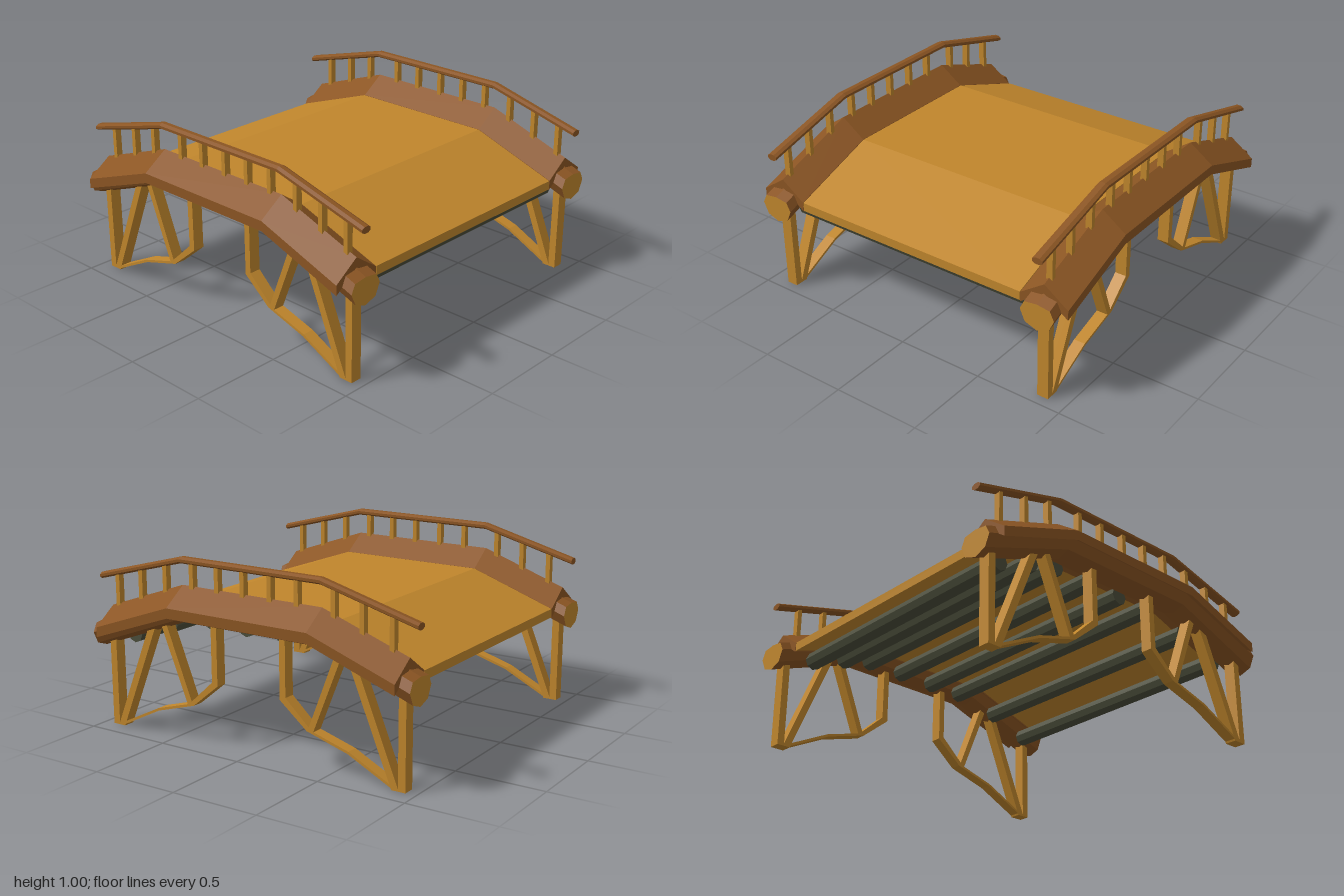
import * as THREE from 'three';

const mat = (name, color) => {
  const m = new THREE.MeshStandardMaterial({ color, flatShading: true });
  m.name = name;
  return m;
};

// Sweep a counter-clockwise [z, y] section along an [x, y] path with upright joints.
// Group 0 is the sides, group 1 the two end caps.
function sweep(section, path) {
  const pos = [];
  const at = (s, i) => {
    const p = section[i % section.length];
    return [path[s][0], path[s][1] + p[1], p[0]];
  };
  const tri = (a, b, c) => pos.push(...a, ...b, ...c);
  for (let s = 0; s < path.length - 1; s++) {
    for (let i = 0; i < section.length; i++) {
      const a = at(s, i), b = at(s, i + 1), c = at(s + 1, i + 1), d = at(s + 1, i);
      tri(a, d, c);
      tri(a, c, b);
    }
  }
  const sides = pos.length / 3;
  const contour = section.map(([z, y]) => new THREE.Vector2(z, y));
  const end = path.length - 1;
  for (const [i, j, k] of THREE.ShapeUtils.triangulateShape(contour, [])) {
    tri(at(0, i), at(0, j), at(0, k));
    tri(at(end, i), at(end, k), at(end, j));
  }
  const geo = new THREE.BufferGeometry();
  geo.setAttribute('position', new THREE.Float32BufferAttribute(pos, 3));
  geo.computeVertexNormals();
  geo.addGroup(0, sides, 0);
  geo.addGroup(sides, pos.length / 3 - sides, 1);
  return geo;
}

// Arched path: flat in the middle, sloping down to both ends
const BEND = 0.44;
const arch = (xEnd, yEnd, yMid) => [[-xEnd, yEnd], [-BEND, yMid], [BEND, yMid], [xEnd, yEnd]];
const archY = (x, xEnd, yEnd, yMid) =>
  yMid + (yEnd - yMid) * Math.max(0, Math.abs(x) - BEND) / (xEnd - BEND);

export function createModel() {
  const plank = mat('light wood', 0xc0862c);
  const timber = mat('brown wood', 0x8b5523);
  const olive = mat('dark olive wood', 0x4b4d3a);

  const model = new THREE.Group();
  model.name = 'footbridge';
  const add = (parent, name, geo, material) => {
    const mesh = new THREE.Mesh(geo, material);
    mesh.name = name;
    parent.add(mesh);
    return mesh;
  };

  // Deck
  const deckSection = [[-0.72, -0.05], [0.72, -0.05], [0.72, 0], [-0.72, 0]];
  add(model, 'deck', sweep(deckSection, arch(0.94, 0.575, 0.75)), [plank, plank]);

  // Cross logs under the deck
  for (const x of [-0.775, -0.565, -0.385, -0.15, 0.085, 0.305, 0.6, 0.855]) {
    const log = add(model, 'crossLog', new THREE.CylinderGeometry(0.05, 0.05, 1.58, 8), olive);
    log.rotation.x = Math.PI / 2;
    log.position.set(x, archY(x, 0.94, 0.525, 0.70) - 0.05, 0);
  }

  // Section shapes shared by both sides
  const curbSection = [[-0.14, -0.055], [0, 0.045], [0.14, -0.055], [0.14, 0], [0, 0.098], [-0.14, 0]];
  const beamSection = [[0, -0.09], [0.07, -0.065], [0.1, 0], [0.075, 0.05],
    [0, 0.06], [-0.075, 0.05], [-0.1, 0], [-0.07, -0.065]];
  const railSection = [];
  for (let i = 0; i < 8; i++) {
    const a = (i + 0.5) * Math.PI / 4;
    railSection.push([0.032 * Math.cos(a), 0.019 * Math.sin(a)]);
  }

  // Leg frame bars as [x, y] outlines
  const bars = {
    outerPost: [[0.9, 0], [0.942, 0], [0.942, 0.53], [0.9, 0.53]],
    outerBrace: [[0.862, 0], [0.905, 0], [0.635, 0.66], [0.59, 0.66]],
    innerBrace: [[0.37, 0.207], [0.405, 0.207], [0.588, 0.66], [0.548, 0.66]],
    innerPost: [[0.2, 0.34], [0.236, 0.356], [0.236, 0.68], [0.2, 0.68]],
    innerKnee: [[0.2, 0.34], [0.365, 0.205], [0.39, 0.215], [0.236, 0.356]],
    lowerTie: [[0.905, 0], [0.862, 0.008], [0.61, 0.133], [0.365, 0.205],
      [0.375, 0.216], [0.615, 0.146], [0.865, 0.022]],
  };

  for (const side of [1, -1]) {
    const edge = new THREE.Group();
    edge.name = side > 0 ? 'frontSide' : 'backSide';
    edge.position.z = 0.863 * side;
    model.add(edge);

    // Peaked curb, main beam with pale cut ends, and handrail
    add(edge, 'curb', sweep(curbSection, arch(0.94, 0.575, 0.75)), [timber, timber]);
    add(edge, 'mainBeam', sweep(beamSection, arch(1, 0.53, 0.735)), [timber, plank]);
    add(edge, 'handrail', sweep(railSection, arch(1, 0.834, 0.982)), [timber, timber]);

    // Railing posts
    for (const x of [-0.85, -0.68, -0.515, -0.295, -0.13, 0.04, 0.205, 0.37, 0.55, 0.72, 0.885]) {
      const low = archY(x, 0.94, 0.65, 0.83);
      const high = archY(x, 1, 0.834, 0.982);
      const post = add(edge, 'railPost', new THREE.BoxGeometry(0.026, high - low, 0.036), plank);
      post.position.set(x, (low + high) / 2, 0);
    }

    // Trussed leg frames, mirrored left and right
    for (const s of [1, -1]) {
      const legs = new THREE.Group();
      legs.name = s > 0 ? 'leftLegFrame' : 'rightLegFrame';
      edge.add(legs);
      for (const [name, outline] of Object.entries(bars)) {
        const shape = new THREE.Shape(outline.map(([x, y]) => new THREE.Vector2(x * s, y)));
        const geo = new THREE.ExtrudeGeometry(shape, { depth: 0.065, bevelEnabled: false });
        geo.translate(0, 0, -0.0325);
        add(legs, name, geo, plank);
      }
    }
  }
  return model;
}
